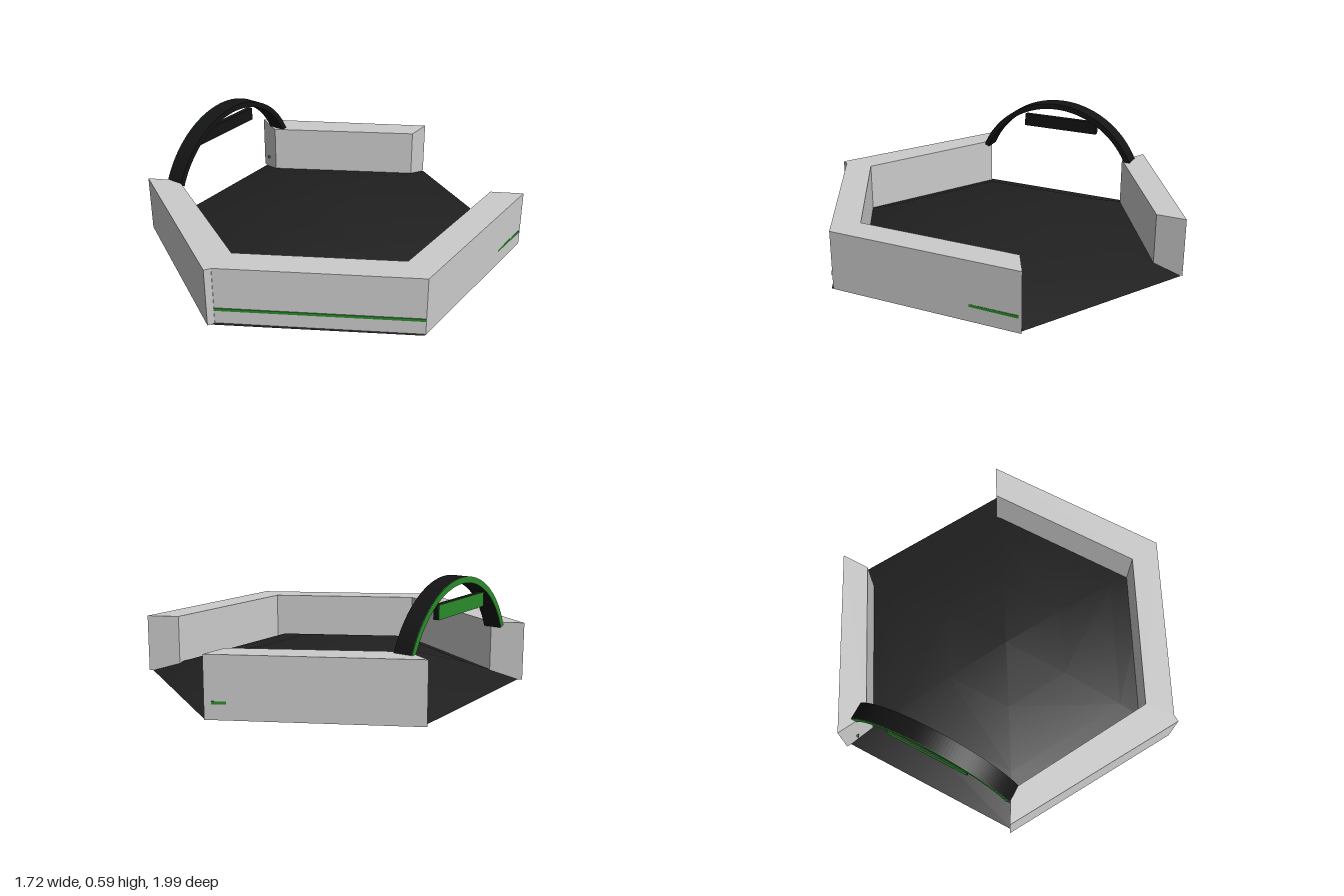
import * as THREE from 'three';

const mat = (color, side = THREE.FrontSide) => new THREE.MeshStandardMaterial({ color, side });

export function createModel() {
  const model = new THREE.Group();
  const grey = mat(0xcccccc);
  const black = mat(0x141414);
  const green = mat(0x2a8a2a);

  const add = (name, geometry, material, parent = model) => {
    const mesh = new THREE.Mesh(geometry, material);
    mesh.name = name;
    parent.add(mesh);
    return mesh;
  };

  // Mitred walls: footprints in (x, z), raised to the wall height
  const wall = (name, corners) => {
    const shape = new THREE.Shape(corners.map(([x, z]) => new THREE.Vector2(x, -z)));
    const geometry = new THREE.ExtrudeGeometry(shape, { depth: 0.3, bevelEnabled: false });
    add(name, geometry.rotateX(-Math.PI / 2), grey);
  };
  wall('backRightWall', [[0, -0.99], [-0.86, -0.505], [-0.71, -0.425], [0, -0.84]]);
  wall('leftWall', [[0.86, -0.51], [0.71, -0.43], [0.71, 0.405], [0.86, 0.48]]);
  wall('frontLeftWall', [[0.86, 0.48], [0.71, 0.405], [0.005, 0.81], [0.015, 0.965]]);
  wall('frontRightWall', [[-0.86, 0.48], [0, 0.995], [0.018, 0.965], [0.005, 0.81], [-0.71, 0.405]]);

  // Shallow six-sided domed floor, open underneath
  const profile = [[0.98, 0], [0.69, 0.086], [0.355, 0.148], [0, 0.17]];
  const floor = new THREE.LatheGeometry(profile.map(([r, y]) => new THREE.Vector2(r, y)), 6);
  add('floor', floor, mat(0x202020, THREE.DoubleSide)).position.x = 0.01;

  // Thin stripes let into the outer wall faces, running from one point to another in (x, z)
  const stripe = (name, [x1, z1], [x2, z2]) => {
    const length = Math.hypot(x2 - x1, z2 - z1);
    const mesh = add(name, new THREE.BoxGeometry(length, 0.014, 0.01), green);
    mesh.position.set((x1 + x2) / 2, 0.08, (z1 + z2) / 2);
    mesh.rotation.y = -Math.atan2(z2 - z1, x2 - x1);
  };
  stripe('frontLeftStripe', [0.017, 0.963], [0.858, 0.48]);
  stripe('leftStripe', [0.858, -0.495], [0.847, 0.4]);
  stripe('backRightStripe', [-0.03, -0.973], [-0.8, -0.46]);

  // Arch over the open side, with its outward face coloured
  const arch = new THREE.Group();
  arch.name = 'arch';
  arch.position.set(-0.67, 0.088, -0.028);
  model.add(arch);
  const start = 0.41;
  const band = new THREE.Shape();
  band.absarc(0, 0, 0.502, start, Math.PI - start, false);
  band.absarc(0, 0, 0.472, Math.PI - start, start, true);
  const bandGeometry = depth => new THREE.ExtrudeGeometry(band, {
    depth, bevelEnabled: false, curveSegments: 32,
  }).rotateY(-Math.PI / 2);
  add('archBand', bandGeometry(0.092), black, arch);
  add('archOuterFace', bandGeometry(0.003), green, arch).position.x = -0.092;

  // Sign plate hung inside the arch
  add('signPlate', new THREE.BoxGeometry(0.027, 0.07, 0.445), black, arch).position.set(-0.0785, 0.367, 0);
  add('signOuterFace', new THREE.BoxGeometry(0.003, 0.07, 0.445), green, arch).position.set(-0.0935, 0.367, 0);

  return model;
}
